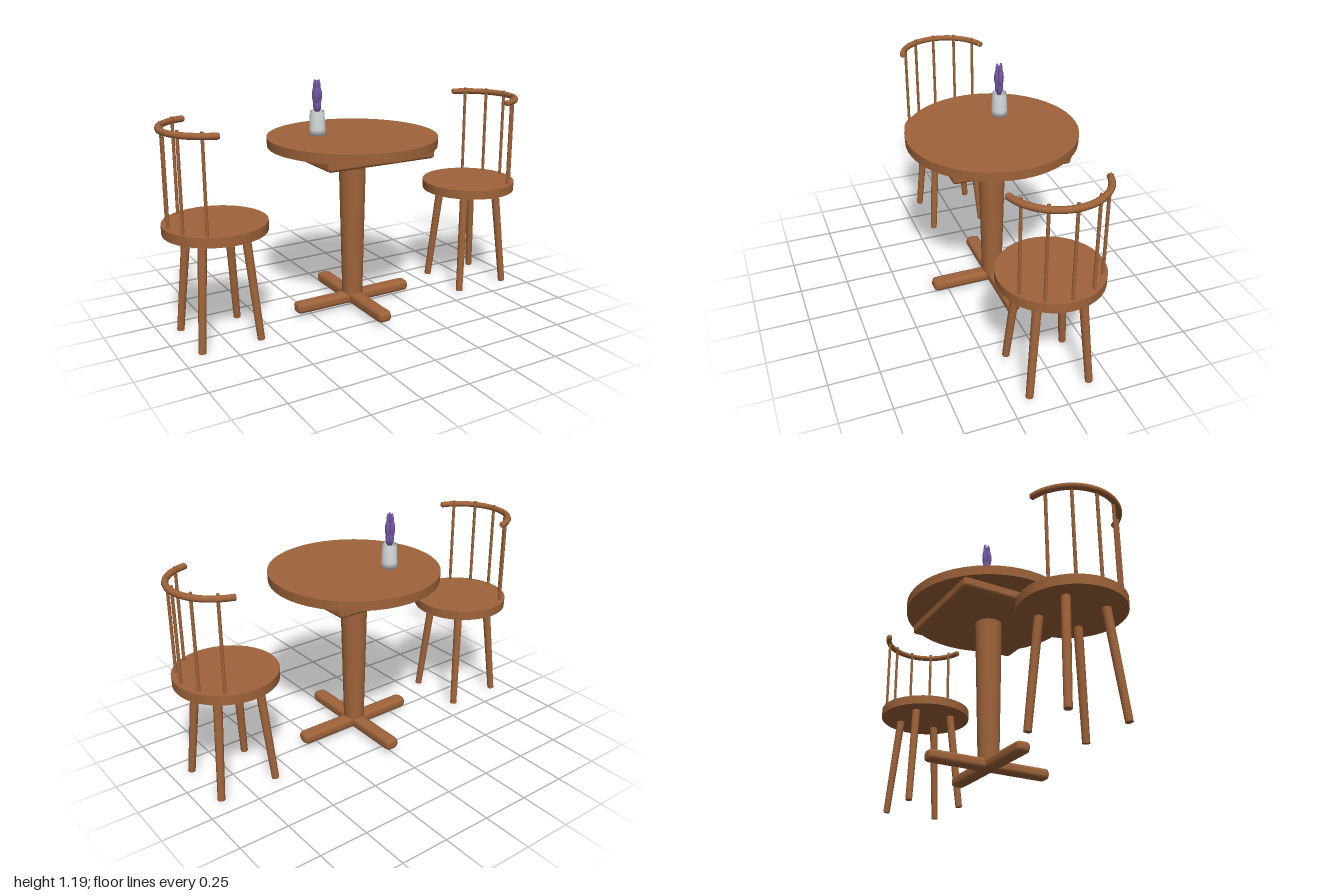
import * as THREE from 'three';
import { RoundedBoxGeometry } from 'three/addons/geometries/RoundedBoxGeometry.js';

const wood = new THREE.MeshStandardMaterial({ color: 0xa0643a });
wood.name = 'wood';
const ceramic = new THREE.MeshStandardMaterial({ color: 0xd3dada, side: THREE.DoubleSide });
ceramic.name = 'ceramic';
const purple = new THREE.MeshStandardMaterial({ color: 0x7458a6 });
purple.name = 'purple';

function add(parent, name, geometry, material, x = 0, y = 0, z = 0) {
  const mesh = new THREE.Mesh(geometry, material);
  mesh.name = name;
  mesh.position.set(x, y, z);
  parent.add(mesh);
  return mesh;
}

// Round bar between two points
function rod(parent, name, a, b, rA, rB, material, sides = 12) {
  const dir = b.clone().sub(a);
  const mid = a.clone().add(b).multiplyScalar(0.5);
  const mesh = add(parent, name, new THREE.CylinderGeometry(rB, rA, dir.length(), sides), material, mid.x, mid.y, mid.z);
  mesh.quaternion.setFromUnitVectors(new THREE.Vector3(0, 1, 0), dir.normalize());
  return mesh;
}

const V = (x, y, z) => new THREE.Vector3(x, y, z);

function makeTable() {
  const table = new THREE.Group();
  table.name = 'table';
  add(table, 'tableTop', new THREE.CylinderGeometry(0.43, 0.428, 0.048, 48), wood, 0, 0.893, 0);
  add(table, 'apron', new RoundedBoxGeometry(0.6, 0.06, 0.6, 1, 0.018), wood, 0, 0.85, 0);
  add(table, 'column', new THREE.CylinderGeometry(0.07, 0.053, 0.78, 32), wood, 0, 0.44, 0);
  // Crossed feet
  add(table, 'footX', new RoundedBoxGeometry(0.67, 0.058, 0.075, 1, 0.022), wood, 0, 0.048, 0);
  add(table, 'footZ', new RoundedBoxGeometry(0.075, 0.058, 0.67, 1, 0.022), wood, 0, 0.048, 0);
  return table;
}

// Chair with its back towards +x
function makeChair(name) {
  const chair = new THREE.Group();
  chair.name = name;
  add(chair, 'seat', new THREE.CylinderGeometry(0.251, 0.25, 0.048, 40), wood, 0, 0.562, 0);
  for (const sx of [-1, 1]) for (const sz of [-1, 1]) {
    rod(chair, 'leg', V(sx * 0.15, 0.003, sz * 0.15), V(sx * 0.106, 0.545, sz * 0.106), 0.018, 0.022, wood);
  }
  // Spindles
  for (const deg of [-60, -30, 0, 30, 60]) {
    const a = THREE.MathUtils.degToRad(deg);
    const x = Math.cos(a) * 0.228, z = Math.sin(a) * 0.228;
    rod(chair, 'spindle', V(x, 0.58, z), V(x, 1.06, z), 0.008, 0.008, wood, 8);
  }
  // Curved top rail with closed ends
  const points = [];
  for (let i = 0; i <= 16; i++) {
    const a = THREE.MathUtils.degToRad(-77 + (154 * i) / 16);
    points.push(V(Math.cos(a) * 0.235, 1.04, Math.sin(a) * 0.235));
  }
  const curve = new THREE.CatmullRomCurve3(points);
  add(chair, 'backRail', new THREE.TubeGeometry(curve, 32, 0.016, 8), wood);
  for (const [t, s] of [[0, -1], [1, 1]]) {
    const p = curve.getPointAt(t);
    const tip = p.clone().addScaledVector(curve.getTangentAt(t), s * 0.006);
    rod(chair, 'railEnd', p, tip, 0.016, 0.011, wood, 8);
  }
  return chair;
}

function makeVase() {
  const vase = new THREE.Group();
  vase.name = 'flowerVase';
  const profile = [[0, 0], [0.041, 0], [0.041, 0.03], [0.036, 0.122], [0.03, 0.122], [0.032, 0.02], [0, 0.02]]
    .map(([r, y]) => new THREE.Vector2(r, y));
  add(vase, 'vase', new THREE.LatheGeometry(profile, 24), ceramic);
  // Three flower spikes, each a stack of buds
  for (let i = 0; i < 3; i++) {
    const a = (i * Math.PI * 2) / 3;
    const dx = Math.cos(a), dz = Math.sin(a);
    rod(vase, 'stem', V(0, 0.02, 0), V(dx * 0.012, 0.17, dz * 0.012), 0.005, 0.005, purple, 6);
    [[0.15, 0.009, 0.013, 0.034], [0.2, 0.014, 0.013, 0.045], [0.245, 0.011, 0.009, 0.034]].forEach(([y, off, r, h]) => {
      const bud = add(vase, 'bud', new THREE.SphereGeometry(1, 10, 8), purple, dx * off, y, dz * off);
      bud.scale.set(r, h, r);
    });
  }
  return vase;
}

export function createModel() {
  const model = new THREE.Group();
  model.name = 'tableAndChairs';
  model.add(makeTable());
  const left = makeChair('leftChair');
  left.position.x = 0.747;
  const right = makeChair('rightChair');
  right.position.x = -0.747;
  right.rotation.y = Math.PI;
  const vase = makeVase();
  vase.position.set(-0.147, 0.916, -0.096);
  model.add(left, right, vase);
  return model;
}
